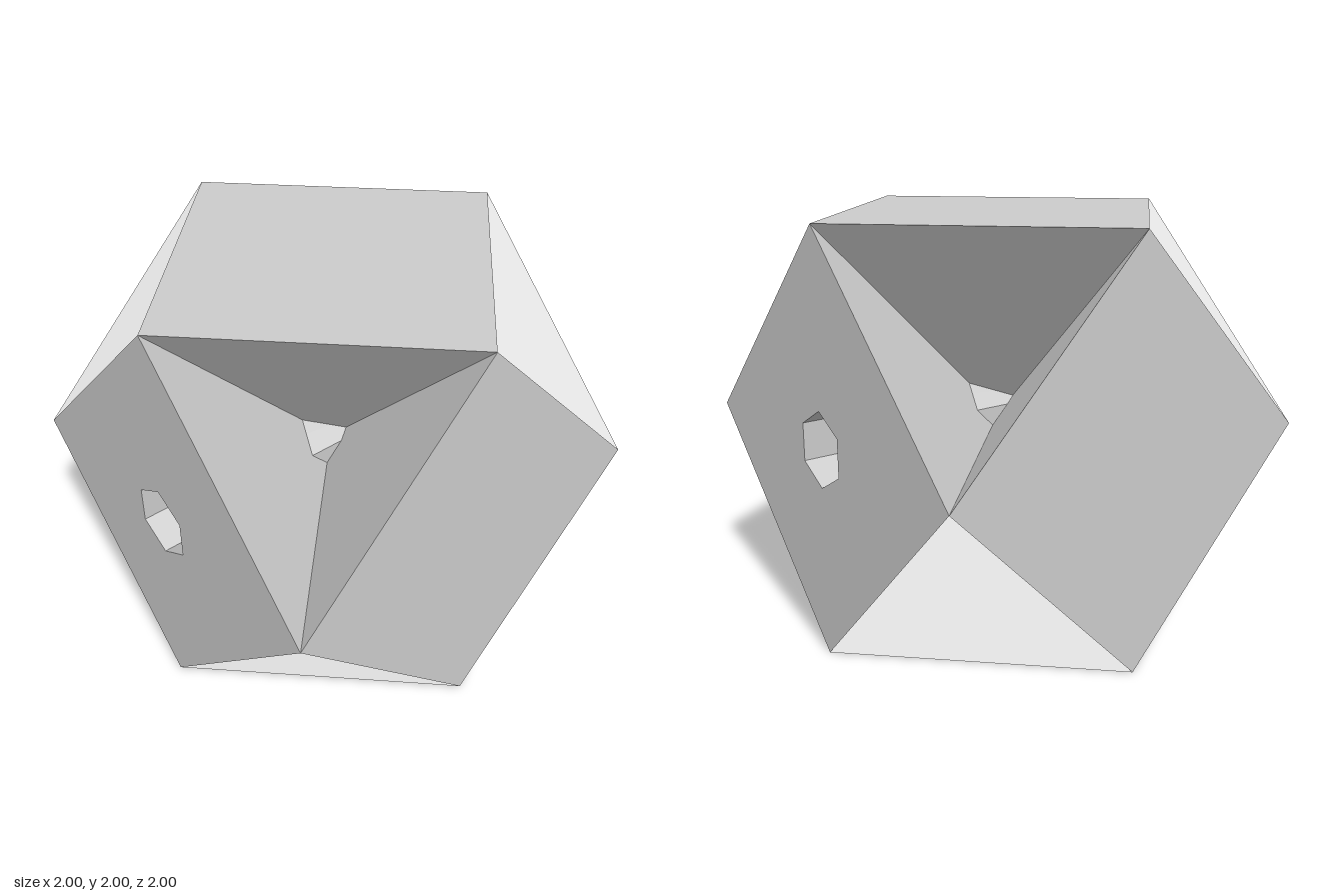
import * as THREE from 'three';

export function createModel() {
  const group = new THREE.Group();
  const paleGrey = new THREE.MeshStandardMaterial({ color: 0xcccccc });
  paleGrey.name = 'paleGrey';
  paleGrey.flatShading = true;
  paleGrey.side = THREE.DoubleSide;

  const boreRadius = 0.18;
  const ring = (n, r) => Array.from({ length: n }, (_, i) => {
    const a = Math.PI / 2 + (i * 2 * Math.PI) / n;
    return new THREE.Vector2(r * Math.cos(a), r * Math.sin(a));
  });

  const add = (name, geometry) => {
    const mesh = new THREE.Mesh(geometry, paleGrey);
    mesh.name = name;
    group.add(mesh);
    return mesh;
  };

  // Six outer squares; the two on the x axis have a hexagonal opening
  const addSquare = (name, rx, ry, open) => {
    const shape = new THREE.Shape(ring(4, 1));
    if (open) shape.holes.push(new THREE.Path(ring(6, boreRadius).reverse()));
    const geometry = new THREE.ShapeGeometry(shape);
    geometry.translate(0, 0, 1).rotateX(rx).rotateY(ry);
    add(name, geometry);
  };
  const quarter = Math.PI / 2;
  addSquare('frontSquare', 0, 0, false);
  addSquare('backSquare', 0, Math.PI, false);
  addSquare('leftSquare', 0, quarter, true);
  addSquare('rightSquare', 0, -quarter, true);
  addSquare('topSquare', -quarter, 0, false);
  addSquare('bottomSquare', quarter, 0, false);

  // Four hexagons crossing at the centre form the eight sunken corners
  for (const sy of [1, -1]) {
    for (const sz of [1, -1]) {
      const n = new THREE.Vector3(1, sy, sz).normalize();
      const u = new THREE.Vector3(1, -sy, 0).normalize();
      const v = new THREE.Vector3().crossVectors(n, u);
      const geometry = new THREE.CircleGeometry(Math.SQRT2, 6);
      geometry.applyMatrix4(new THREE.Matrix4().makeBasis(u, v, n));
      add('centralHexagon', geometry);
    }
  }

  // Open hexagonal tube running from side to side
  const tube = new THREE.CylinderGeometry(boreRadius, boreRadius, 2, 6, 1, true, quarter);
  tube.rotateZ(quarter);
  add('hexagonalTube', tube);

  // Stand the solid on the ground
  group.children.forEach((mesh) => { mesh.position.y = 1; });
  return group;
}
